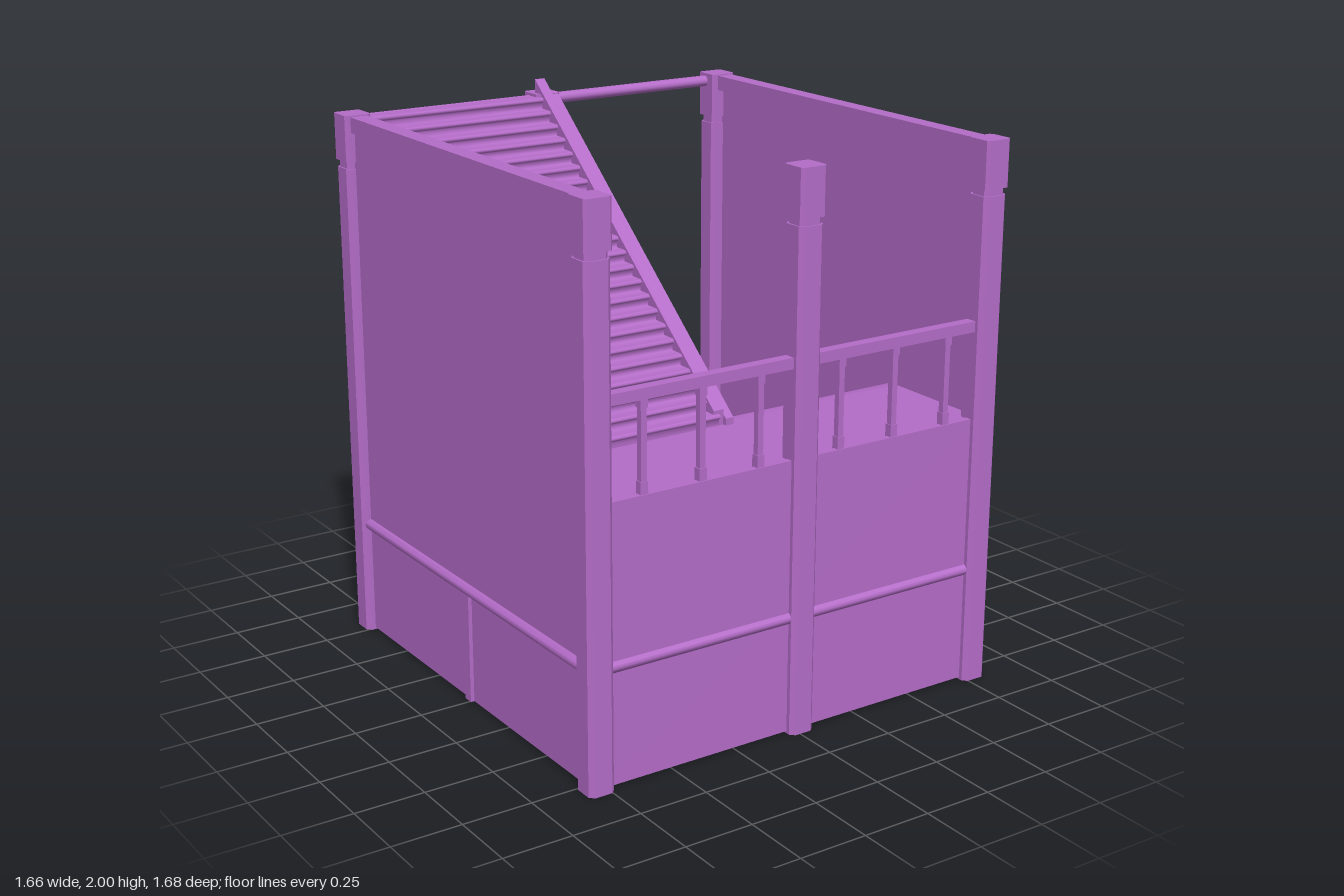
import * as THREE from 'three';
import { toCreasedNormals } from 'three/addons/utils/BufferGeometryUtils.js';

export function createModel() {
  const group = new THREE.Group();
  const mat = new THREE.MeshStandardMaterial({ color: 0xb46cc8, side: THREE.DoubleSide });

  const add = (name, geo, x = 0, y = 0, z = 0, parent = group) => {
    const mesh = new THREE.Mesh(geo, mat);
    mesh.name = name;
    mesh.position.set(x, y, z);
    parent.add(mesh);
    return mesh;
  };

  // Box given by its limits on each axis
  const box = (name, x0, x1, y0, y1, z0, z1, parent) =>
    add(name, new THREE.BoxGeometry(x1 - x0, y1 - y0, z1 - z0),
      (x0 + x1) / 2, (y0 + y1) / 2, (z0 + z1) / 2, parent);

  // Round bar along x or z
  const bar = (name, axis, length, r, x, y, z) => {
    const geo = toCreasedNormals(new THREE.CylinderGeometry(r, r, length, 12), 0.7);
    if (axis === 'x') geo.rotateZ(Math.PI / 2); else geo.rotateX(Math.PI / 2);
    return add(name, geo, x, y, z);
  };

  // Square prism with chamfered vertical edges
  const prism = (w, c, y0, y1) => {
    const h = w / 2, s = new THREE.Shape();
    [[-h + c, -h], [h - c, -h], [h, -h + c], [h, h - c], [h - c, h], [-h + c, h], [-h, h - c], [-h, -h + c]]
      .forEach(([x, y], i) => (i ? s.lineTo(x, y) : s.moveTo(x, y)));
    return new THREE.ExtrudeGeometry(s, { depth: y1 - y0, bevelEnabled: false })
      .rotateX(-Math.PI / 2).translate(0, y0, 0);
  };

  // Side outline of [z, y] points, extruded across x
  const sidePanel = (name, pts, x0, x1) => {
    const s = new THREE.Shape(pts.map(([z, y]) => new THREE.Vector2(z, y)));
    const geo = new THREE.ExtrudeGeometry(s, { depth: x1 - x0, bevelEnabled: false })
      .rotateY(-Math.PI / 2).translate(x1, 0, 0);
    return add(name, geo);
  };

  // Posts: shaft, narrow neck and square cap
  const post = (name, x, z) => {
    const g = new THREE.Group();
    g.name = name;
    g.position.set(x, 0, z);
    add('postShaft', prism(0.096, 0.016, 0, 1.76), 0, 0, 0, g);
    add('postNeck', prism(0.084, 0.014, 1.76, 1.785), 0, 0, 0, g);
    add('postCap', prism(0.1, 0.01, 1.785, 1.95), 0, 0, 0, g);
    group.add(g);
  };
  for (const z of [-0.79, 0.79]) {
    for (const x of [-0.785, 0.78]) post('cornerPost', x, z);
    post('middlePost', z > 0 ? 0.012 : -0.01, z);
  }

  // Side walls with cap rail, belt moulding and vertical batten
  for (const s of [-1, 1]) {
    box('sideWall', s * 0.79 - 0.012, s * 0.79 + 0.012, 0.008, 1.945, -0.79, 0.79);
    box('wallCapRail', s * 0.784 - 0.032, s * 0.784 + 0.032, 1.89, 1.945, -0.76, 0.76);
    bar('sideMoulding', 'z', 1.5, 0.021, s * 0.802, 0.422, 0);
    box('sideBatten', s * 0.804 - 0.012, s * 0.804 + 0.012, 0.008, 0.41, -0.02, 0.02);
  }

  // Front wall, moulding, landing and back parts
  box('frontWall', -0.78, 0.78, 0.008, 0.978, 0.785, 0.808);
  bar('frontMoulding', 'x', 1.5, 0.021, 0, 0.422, 0.802);
  box('landing', -0.78, 0.78, 0.95, 0.975, 0.36, 0.79);
  bar('backRail', 'x', 1.5, 0.021, 0, 1.92, -0.8);
  box('backPanel', -0.77, -0.02, 1.15, 1.92, -0.805, -0.79);

  // Front railing with stepped balusters
  box('frontHandrail', -0.75, 0.75, 1.29, 1.328, 0.77, 0.81);
  for (const x of [-0.605, -0.383, -0.157, 0.17, 0.395, 0.622]) {
    box('balusterFoot', x - 0.014, x + 0.014, 0.96, 1.02, 0.776, 0.804);
    box('balusterShaft', x - 0.011, x + 0.011, 1.02, 1.26, 0.779, 0.801);
    box('balusterHead', x - 0.014, x + 0.014, 1.26, 1.29, 0.776, 0.804);
  }

  // Stair sheet: each step is a riser, a rounded nosing and a tread
  const flight = (name, x0, x1, z0, z1, y0, y1, steps, smooth) => {
    const run = (z1 - z0) / steps, rise = (y1 - y0) / steps;
    const step = [[0, 0], [0, 0.5], [-0.15, 0.62], [-0.22, 0.8], [-0.12, 0.95], [0, 1]];
    const pts = [];
    for (let i = 0; i < steps; i++)
      for (const [u, v] of step) pts.push([z0 + (i + u) * run, y0 + (i + v) * rise]);
    pts.push([z1, y1]);
    const [a, b] = run > 0 ? [x0, x1] : [x1, x0];
    const pos = [], idx = [];
    pts.forEach(([z, y], i) => {
      pos.push(a, y, z, b, y, z);
      if (i) {
        const k = 2 * i;
        idx.push(k - 2, k, k + 1, k - 2, k + 1, k - 1);
      }
    });
    let geo = new THREE.BufferGeometry();
    geo.setAttribute('position', new THREE.Float32BufferAttribute(pos, 3));
    geo.setIndex(idx);
    geo.computeVertexNormals();
    if (!smooth) geo = toCreasedNormals(geo, 0.75);
    add(name, geo);
  };
  flight('lowerFlight', 0.0, 0.78, -0.78, 0.365, 0.005, 0.972, 23, false);
  flight('upperFlight', -0.78, -0.02, 0.375, -0.785, 0.975, 1.94, 23, true);

  // Wall between the flights, with the sloping stringer and rail on top
  sidePanel('dividingWall', [[-0.79, 0], [0.37, 0], [0.37, 0.99], [-0.79, 1.95]], -0.012, 0.004);
  sidePanel('upperStringer', [[-0.785, 1.93], [0.375, 0.96], [0.375, 1.03], [-0.785, 2.0]], -0.042, -0.002);
  sidePanel('slopingRail', [[-0.75, 1.9], [0.39, 0.95], [0.39, 1.0], [-0.75, 1.955]], -0.002, 0.03);

  return group;
}
